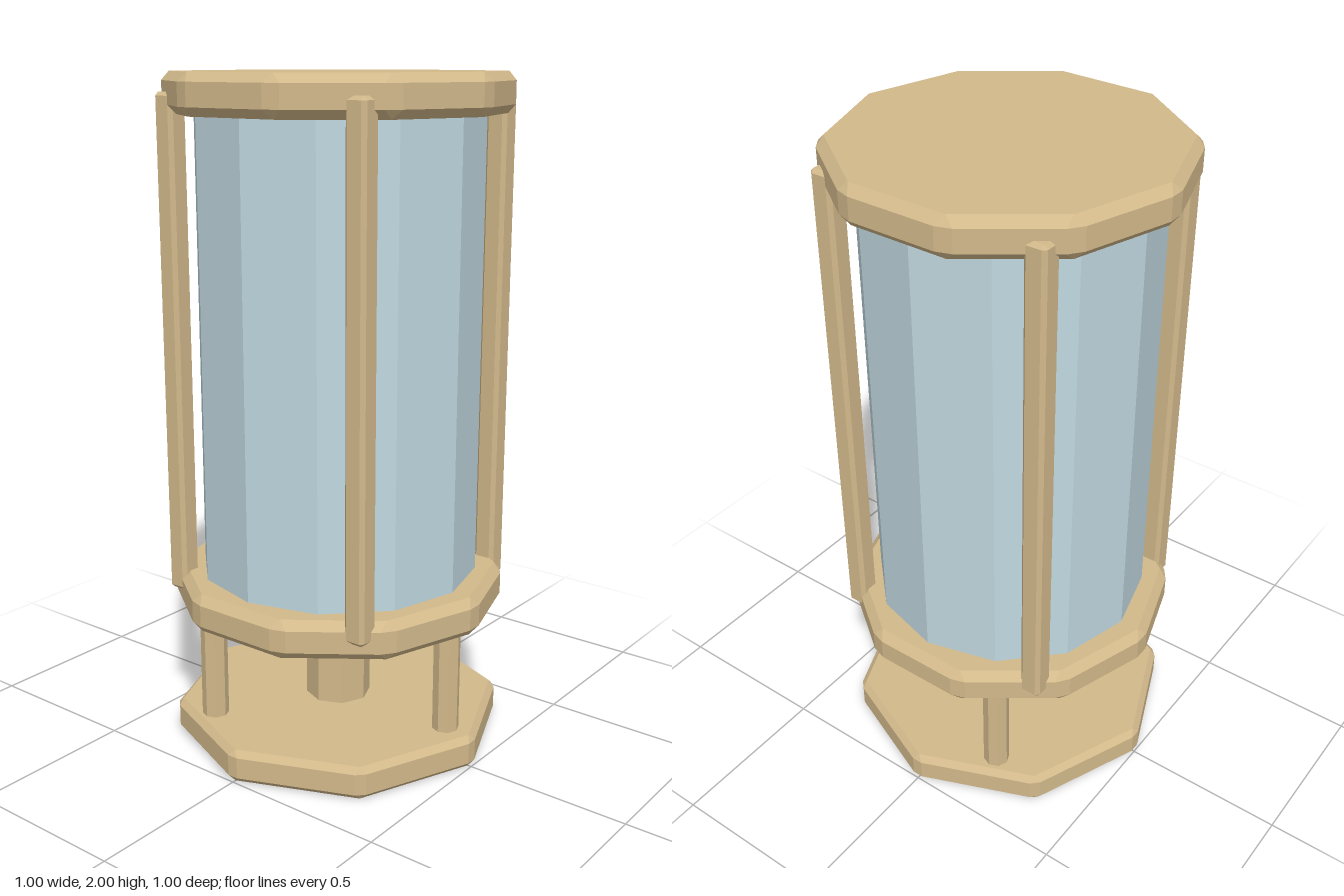
import * as THREE from 'three';
import { ConvexGeometry } from 'three/addons/geometries/ConvexGeometry.js';

const sand = new THREE.MeshStandardMaterial({ color: 0xd2b98b });
sand.name = 'sand';
const glass = new THREE.MeshStandardMaterial({ color: 0xc0d8e0 });
glass.name = 'pale blue glass';

// Regular prism with every edge chamfered by b; first corner at angle phase from +z
function bevelledPrism(sides, radius, y0, y1, b, phase = 0) {
  const corner = (i, r, y) => {
    const a = phase + (i * 2 * Math.PI) / sides;
    return new THREE.Vector3(Math.sin(a) * r, y, Math.cos(a) * r);
  };
  const inner = radius - b / Math.cos(Math.PI / sides);
  const points = [];
  for (let i = 0; i < sides; i++) {
    points.push(corner(i, inner, y0), corner(i, inner, y1));
    for (const y of [y0 + b, y1 - b]) {
      const p = corner(i, radius, y);
      for (const j of [i - 1, i + 1]) {
        const along = corner(j, radius, y).sub(p).setLength(b);
        points.push(p.clone().add(along));
      }
    }
  }
  return new ConvexGeometry(points);
}

// Plain faceted prism
function prism(sides, radius, y0, y1) {
  const g = new THREE.CylinderGeometry(radius, radius, y1 - y0, sides).toNonIndexed();
  g.translate(0, (y0 + y1) / 2, 0);
  g.computeVertexNormals();
  return g;
}

export function createModel() {
  const model = new THREE.Group();
  model.name = 'lantern';
  const add = (name, geometry, material, x = 0, z = 0) => {
    const mesh = new THREE.Mesh(geometry, material);
    mesh.name = name;
    mesh.position.set(x, 0, z);
    model.add(mesh);
  };

  // Octagonal foot and the two decagonal rims
  add('base', bevelledPrism(8, 0.507, 0, 0.1, 0.018), sand);
  add('lowerRim', bevelledPrism(10, 0.505, 0.42, 0.535, 0.025), sand);
  add('topCap', bevelledPrism(10, 0.505, 1.885, 2, 0.025), sand);

  // Twelve-sided glass body
  add('glassBody', prism(12, 0.42, 0.5, 1.92), glass);

  // Central column and three outer posts
  add('centreColumn', prism(8, 0.1, 0.08, 0.44), sand);
  for (let i = 0; i < 3; i++) {
    const a = (i * 2 * Math.PI) / 3;
    add('post' + (i + 1), prism(8, 0.04, 0.08, 0.44), sand, Math.sin(a) * 0.405, Math.cos(a) * 0.405);
  }

  // Four corner rods
  const rod = bevelledPrism(4, 0.0335 * Math.SQRT2, 0.475, 1.945, 0.011, Math.PI / 4);
  for (const x of [-0.334, 0.334]) {
    for (const z of [-0.334, 0.334]) {
      add((z > 0 ? 'front' : 'back') + (x > 0 ? 'Left' : 'Right') + 'Rod', rod, sand, x, z);
    }
  }
  return model;
}
